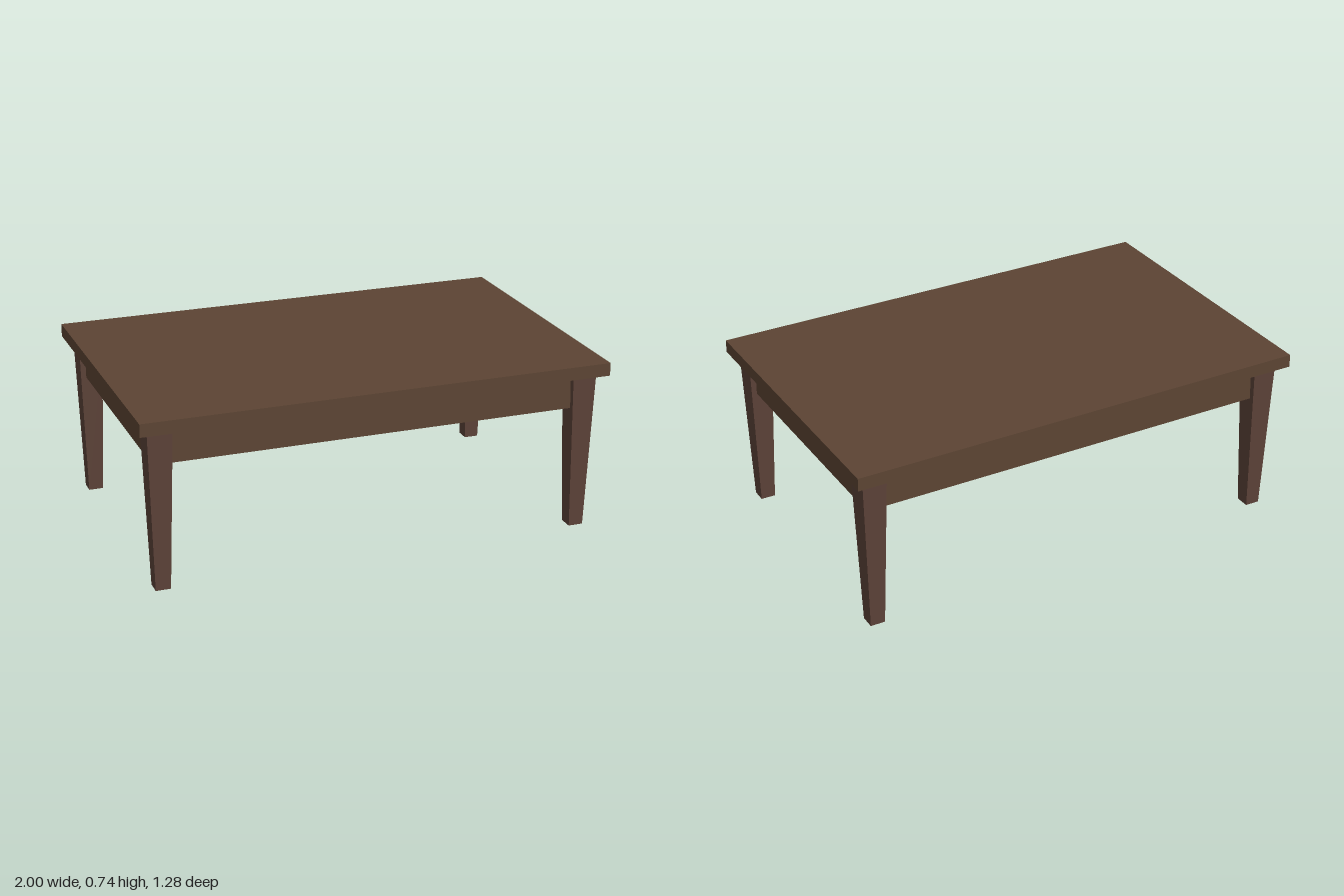
import * as THREE from 'three';

const topY = 0.74, legH = 0.685, legX = 0.909, legZ = 0.542;
const legTop = 0.104, legFoot = 0.063, apronH = 0.15, apronT = 0.05;

export function createModel() {
  const table = new THREE.Group();
  table.name = 'coffeeTable';
  const wood = new THREE.MeshStandardMaterial({ color: 0x5c4433 });
  wood.name = 'brown wood';
  const legWood = new THREE.MeshStandardMaterial({ color: 0x5c4238 });
  legWood.name = 'reddish brown wood';

  const add = (name, geometry, material, x, y, z) => {
    const mesh = new THREE.Mesh(geometry, material);
    mesh.name = name;
    mesh.position.set(x, y, z);
    table.add(mesh);
  };

  // Tabletop slab
  add('tabletop', new THREE.BoxGeometry(2, topY - legH, 1.28), wood, 0, (topY + legH) / 2, 0);

  // Square leg, tapered towards the foot
  const leg = new THREE.BoxGeometry(legTop, legH, legTop);
  const p = leg.attributes.position;
  for (let i = 0; i < p.count; i++) {
    if (p.getY(i) < 0) {
      p.setX(i, Math.sign(p.getX(i)) * legFoot / 2);
      p.setZ(i, Math.sign(p.getZ(i)) * legFoot / 2);
    }
  }
  leg.computeVertexNormals();

  for (const [sx, side] of [[1, 'Left'], [-1, 'Right']]) {
    for (const [sz, end] of [[1, 'front'], [-1, 'back']]) {
      add(`${end}${side}Leg`, leg, legWood, sx * legX, legH / 2, sz * legZ);
    }
  }

  // Aprons run between the legs, set back from their outer faces
  const apronY = legH - apronH / 2;
  const longApron = new THREE.BoxGeometry(2 * legX - 0.08, apronH, apronT);
  const shortApron = new THREE.BoxGeometry(apronT, apronH, 2 * legZ - 0.08);
  add('frontApron', longApron, wood, 0, apronY, legZ);
  add('backApron', longApron, wood, 0, apronY, -legZ);
  add('leftApron', shortApron, wood, legX, apronY, 0);
  add('rightApron', shortApron, wood, -legX, apronY, 0);

  return table;
}
